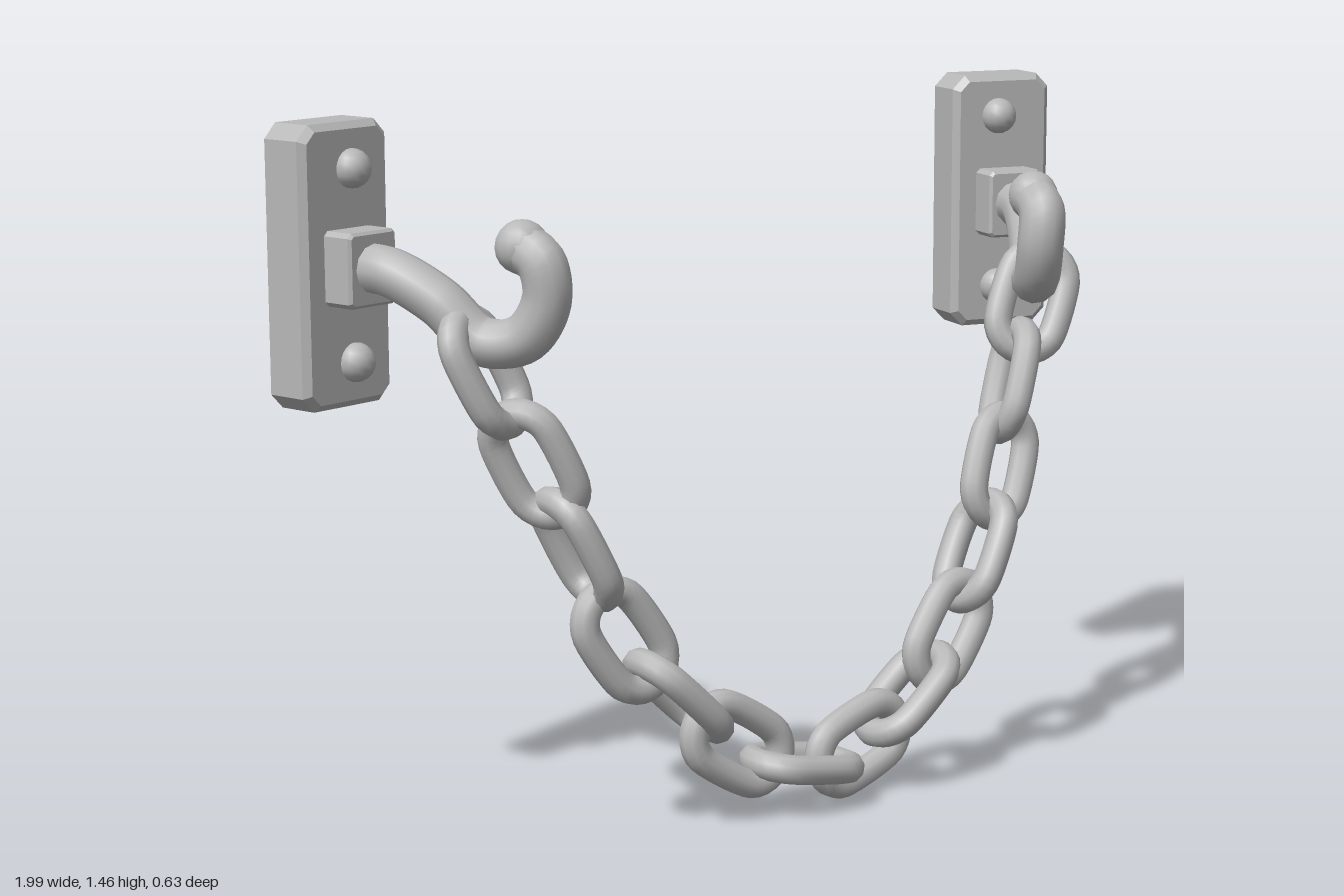
import * as THREE from 'three';

const V = (x, y, z) => new THREE.Vector3(x, y, z);

export function createModel() {
  const model = new THREE.Group();
  const iron = new THREE.MeshStandardMaterial({ color: 0xb8b8b8 });
  iron.name = 'grey iron';

  const add = (parent, name, geometry, x = 0, y = 0, z = 0) => {
    const mesh = new THREE.Mesh(geometry, iron);
    mesh.name = name;
    mesh.position.set(x, y, z);
    parent.add(mesh);
    return mesh;
  };

  // Chamfered slab with clipped corners, centred on its own depth
  const slab = (w, h, d, cut, bevel) => {
    const a = w / 2 - bevel, b = h / 2 - bevel;
    const shape = new THREE.Shape([
      [-a + cut, -b], [a - cut, -b], [a, -b + cut], [a, b - cut],
      [a - cut, b], [-a + cut, b], [-a, b - cut], [-a, -b + cut],
    ].map(([x, y]) => new THREE.Vector2(x, y)));
    const geo = new THREE.ExtrudeGeometry(shape, {
      depth: d - 2 * bevel, bevelEnabled: true, bevelSize: bevel, bevelThickness: bevel, bevelSegments: 1,
    });
    return geo.translate(0, 0, bevel - d / 2);
  };

  // Wall mounts and hooks, mirrored left and right
  const plateGeo = slab(0.24, 0.57, 0.118, 0.022, 0.014);
  const blockGeo = slab(0.13, 0.15, 0.09, 0.006, 0.006);
  const boltGeo = new THREE.SphereGeometry(0.04, 14, 10);
  for (const s of [1, -1]) {
    const side = s > 0 ? 'left' : 'right';
    const mount = new THREE.Group();
    mount.name = side + 'Mount';
    mount.position.set(s * 0.87, 1.175, -0.235);
    mount.rotation.y = -s * 0.24;
    model.add(mount);
    add(mount, 'wallPlate', plateGeo);
    add(mount, 'hookBlock', blockGeo, 0, 0, 0.085);
    for (const y of [0.193, -0.195]) add(mount, 'bolt', boltGeo, -s * 0.012, y, 0.062);

    const path = new THREE.CatmullRomCurve3([
      V(0.845, 1.175, -0.14), V(0.825, 1.172, -0.07), V(0.77, 1.12, 0.02), V(0.715, 1.045, 0.09),
      V(0.665, 1.055, 0.16), V(0.638, 1.13, 0.2), V(0.645, 1.205, 0.195), V(0.66, 1.233, 0.15),
    ].map((p) => p.multiply(V(s, 1, 1))));
    add(model, side + 'Hook', new THREE.TubeGeometry(path, 48, 0.05, 12));
    add(model, side + 'HookTip', new THREE.SphereGeometry(0.054, 14, 10), s * 0.66, 1.233, 0.15);
  }

  // One stadium-shaped link, long axis along local y
  const linkPoints = [];
  const mid = 0.064, straight = 0.05;
  for (let i = 0; i < 16; i++) {
    const a = ((i + 0.5) / 16) * Math.PI * 2;
    linkPoints.push(V(Math.cos(a) * mid, Math.sin(a) * mid + Math.sign(Math.sin(a)) * straight, 0));
  }
  const linkGeo = new THREE.TubeGeometry(new THREE.CatmullRomCurve3(linkPoints, true), 40, 0.031, 10, true);

  // Link centres along the sag; the last entry is the width direction (null = faces the front)
  const flat = V(0, 0, 1);
  const links = [
    [-0.71, 0.985, 0.09, V(0.9, 0, -0.4)],
    [-0.625, 0.795, 0.13, V(0.55, 0, 0.8)],
    [-0.54, 0.615, 0.15, flat],
    [-0.445, 0.42, 0.18, null],
    [-0.32, 0.285, 0.19, flat],
    [-0.185, 0.165, 0.21, null],
    [-0.02, 0.095, 0.215, flat],
    [0.14, 0.108, 0.205, null],
    [0.275, 0.195, 0.2, flat],
    [0.39, 0.315, 0.2, null],
    [0.485, 0.475, 0.175, flat],
    [0.575, 0.647, 0.15, null],
    [0.635, 0.825, 0.11, V(-0.35, 0, 0.9)],
    [0.715, 0.99, 0.09, V(0.9, 0, 0.4)],
  ];
  const chain = new THREE.Group();
  chain.name = 'chain';
  model.add(chain);
  const centres = links.map(([x, y, z]) => V(x, y, z));
  links.forEach(([x, y, z, width], i) => {
    const along = centres[Math.min(i + 1, links.length - 1)].clone()
      .sub(centres[Math.max(i - 1, 0)]).normalize();
    const across = width ? width.clone() : V(-along.y, along.x, 0);
    across.addScaledVector(along, -across.dot(along)).normalize();
    const normal = across.clone().cross(along);
    add(chain, 'chainLink', linkGeo, x, y, z)
      .quaternion.setFromRotationMatrix(new THREE.Matrix4().makeBasis(across, along, normal));
  });

  return model;
}
